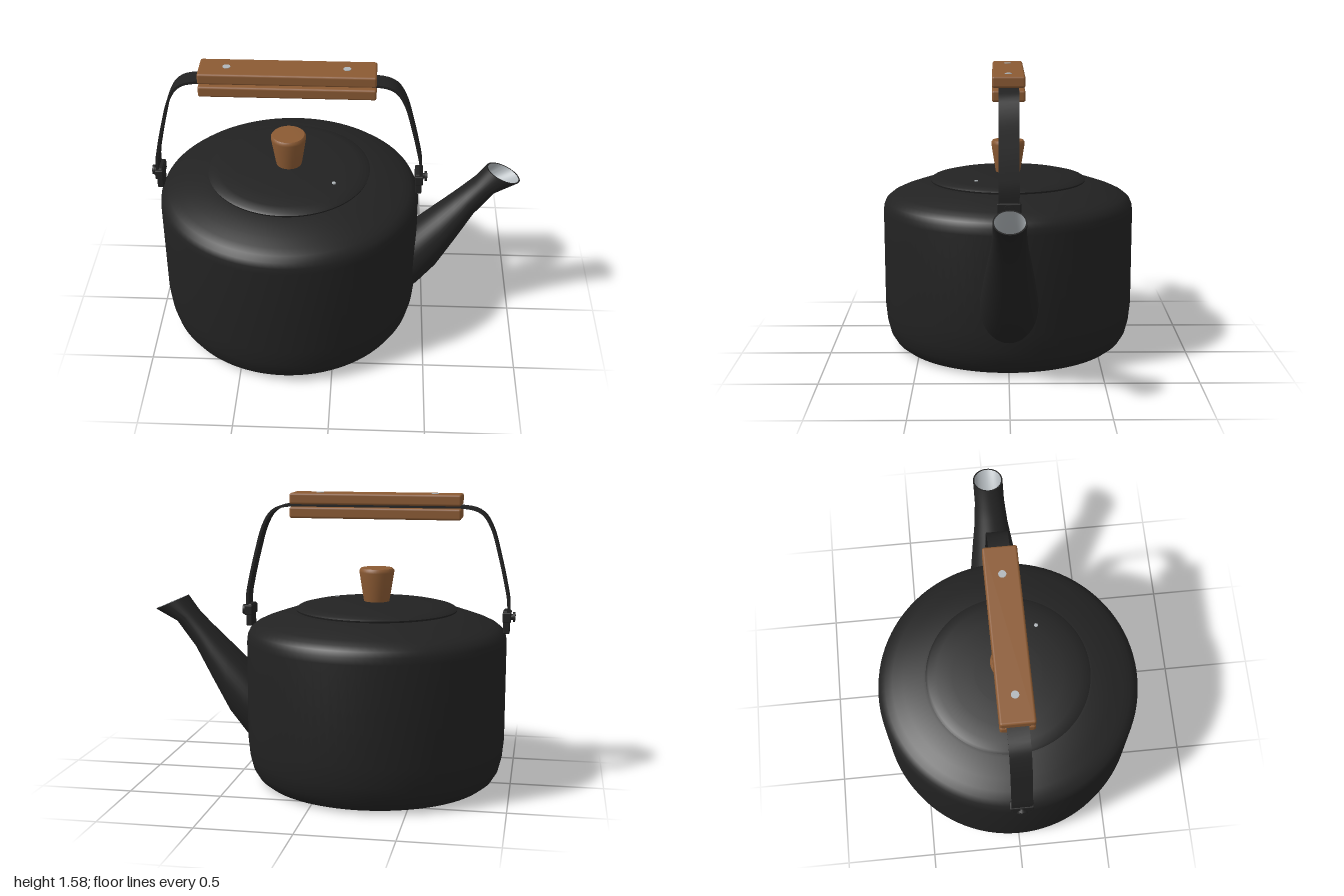
import * as THREE from 'three';
import { toCreasedNormals } from 'three/addons/utils/BufferGeometryUtils.js';
import { RoundedBoxGeometry } from 'three/addons/geometries/RoundedBoxGeometry.js';

const CX = -0.255; // axis of the pot body
const material = (name, color) => {
  const m = new THREE.MeshStandardMaterial({ color });
  m.name = name;
  return m;
};

export function createModel() {
  const group = new THREE.Group();
  group.name = 'kettle';
  const black = material('black enamel', 0x222222);
  const wood = material('wood', 0x8b5a33);
  const steel = material('steel', 0xb0b6ba);

  const add = (name, geometry, mat, x = 0, y = 0, z = 0) => {
    const mesh = new THREE.Mesh(geometry, mat);
    mesh.name = name;
    mesh.position.set(x, y, z);
    group.add(mesh);
    return mesh;
  };
  const lathe = (points, segments = 96) => toCreasedNormals(
    new THREE.LatheGeometry(points.map(p => new THREE.Vector2(...p)), segments), 0.7);

  // Tube through elliptical sections [upper x, upper y, lower x, lower y, half width]
  const loft = (sections, inward = false, n = 40) => {
    const pos = [], idx = [];
    sections.forEach(([ux, uy, lx, ly, w], i) => {
      for (let j = 0; j < n; j++) {
        const a = j / n * Math.PI * 2, c = Math.cos(a) / 2;
        pos.push((ux + lx) / 2 + (ux - lx) * c, (uy + ly) / 2 + (uy - ly) * c, w * Math.sin(a));
        if (i === 0) continue;
        const k = (j + 1) % n, p = (i - 1) * n, q = i * n;
        if (inward) idx.push(p + j, q + j, p + k, p + k, q + j, q + k);
        else idx.push(p + j, p + k, q + j, p + k, q + k, q + j);
      }
    });
    const g = new THREE.BufferGeometry();
    g.setAttribute('position', new THREE.Float32BufferAttribute(pos, 3));
    g.setIndex(idx);
    return toCreasedNormals(g, 0.8);
  };

  // Pot body and lid
  add('body', lathe([
    [0, 0], [0.58, 0], [0.615, 0.008], [0.65, 0.035], [0.677, 0.08], [0.695, 0.15], [0.705, 0.25],
    [0.705, 0.78], [0.701, 0.815], [0.688, 0.843], [0.66, 0.866], [0.62, 0.885], [0.56, 0.906],
    [0.45, 0.943], [0.4, 0.945], [0, 0.945],
  ]), black, CX);
  add('lid', lathe([
    [0.432, 0.935], [0.438, 0.953], [0.425, 0.962], [0.38, 0.973], [0.3, 0.983], [0.18, 0.991], [0, 0.994],
  ]), black, CX);
  add('steamHole', new THREE.CylinderGeometry(0.01, 0.01, 0.008, 16), steel, -0.005, 0.984, 0.175);
  add('lidKnob', lathe([
    [0, 0.98], [0.066, 0.98], [0.072, 1.01], [0.094, 1.15], [0.094, 1.162], [0.086, 1.172], [0, 1.174],
  ], 40), wood, CX);

  // Spout with a thin rim and a pale lining
  const spout = [
    [0.4, 0.57, 0.4, 0.17, 0.154], [0.455, 0.625, 0.455, 0.21, 0.152],
    [0.56, 0.725, 0.56, 0.34, 0.135], [0.64, 0.8, 0.66, 0.52, 0.114],
    [0.695, 0.853, 0.76, 0.705, 0.094], [0.75, 0.91, 0.87, 0.85, 0.083],
    [0.81, 0.995, 0.995, 0.915, 0.083],
  ];
  const inset = ([ux, uy, lx, ly, w], f = 0.045) => [
    ux + (lx - ux) * f, uy + (ly - uy) * f, lx + (ux - lx) * f, ly + (uy - ly) * f, w * (1 - 2 * f)];
  add('spout', loft([...spout, inset(spout[6])]), black);
  add('spoutLining', loft(spout.map(s => inset(s)), true), steel);

  // Bent metal strap: right half of the arch mirrored about the body axis
  const half = [[0.711, 0.9], [0.711, 1.01], [0.695, 1.1], [0.66, 1.25], [0.62, 1.39],
    [0.578, 1.465], [0.535, 1.494], [0.47, 1.507], [0.3, 1.508]];
  const arch = [...half, ...half.slice().reverse().map(([x, y]) => [-x, y])];
  const curve = new THREE.CatmullRomCurve3(arch.map(([x, y]) => new THREE.Vector3(x, y, 0)), false, 'centripetal');
  const outer = [], inner = [];
  for (let i = 0; i <= 90; i++) {
    const p = curve.getPointAt(i / 90), t = curve.getTangentAt(i / 90);
    outer.push(new THREE.Vector2(p.x + t.y * 0.007, p.y - t.x * 0.007));
    inner.unshift(new THREE.Vector2(p.x - t.y * 0.007, p.y + t.x * 0.007));
  }
  const strap = new THREE.ExtrudeGeometry(new THREE.Shape([...outer, ...inner]), { depth: 0.108, bevelEnabled: false });
  add('handleStrap', toCreasedNormals(strap, 0.6), black, CX, 0, -0.054);

  // Wooden grip halves and their rivets
  for (const y of [1.545, 1.471]) {
    add('gripHalf', new RoundedBoxGeometry(0.92, 0.06, 0.176, 3, 0.012), wood, -0.25, y);
  }
  for (const x of [-0.565, 0.057]) {
    add('gripRivet', new THREE.CylinderGeometry(0.02, 0.02, 0.008, 20), steel, x, 1.574);
  }

  // Hinge lugs and studs on both sides
  for (const s of [-1, 1]) {
    const at = r => CX + s * r;
    add('hingeLug', new RoundedBoxGeometry(0.034, 0.122, 0.1, 2, 0.006), black, at(0.703), 0.901);
    add('hingeCollar', new RoundedBoxGeometry(0.044, 0.055, 0.124, 2, 0.006), black, at(0.704), 0.928);
    add('hingePin', new THREE.CylinderGeometry(0.015, 0.015, 0.03, 20), black, at(0.734), 0.925).rotation.z = Math.PI / 2;
    add('hingeStud', new THREE.CylinderGeometry(0.027, 0.027, 0.012, 24), black, at(0.741), 0.925).rotation.z = Math.PI / 2;
  }
  return group;
}
